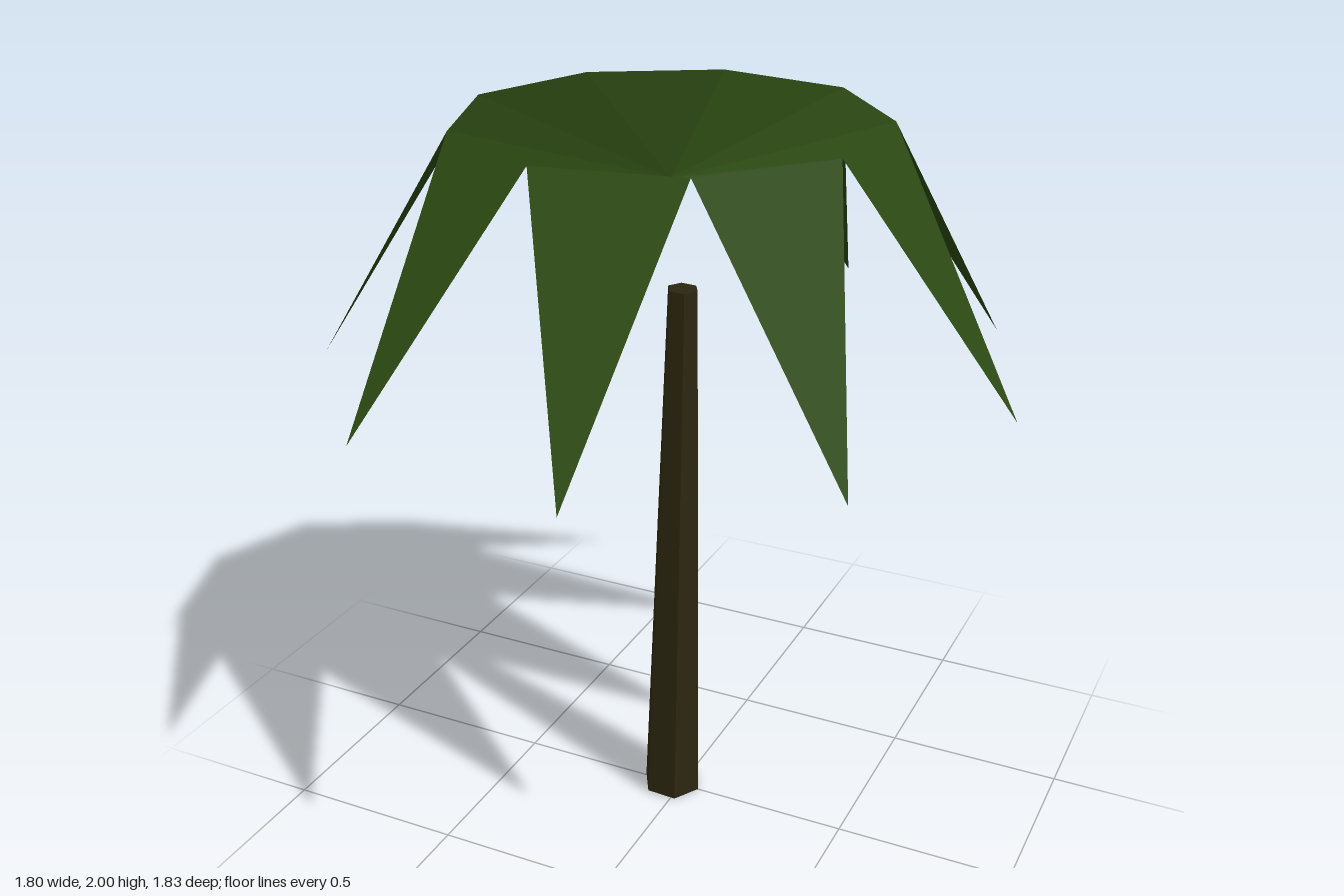
import * as THREE from 'three';

const LEAF_COUNT = 9;
const CENTRE_X = -0.028;

// One kite-shaped leaf: from the sunken crown centre, over the rim, down to the tip
function leafGeometry() {
  const half = Math.PI / LEAF_COUNT, rim = 0.552;
  const rx = rim * Math.cos(half), rz = rim * Math.sin(half);
  const geo = new THREE.BufferGeometry();
  geo.setAttribute('position', new THREE.Float32BufferAttribute([
    0, 1.845, 0,
    rx, 2, rz,
    0.928, 1.35, 0,
    rx, 2, -rz,
  ], 3));
  geo.setIndex([0, 1, 3, 1, 2, 3]);
  // The whole leaf shares one soft outward normal, so the fold at the rim stays smooth
  const n = new THREE.Vector3(0.47, 0.88, 0).normalize().toArray();
  geo.setAttribute('normal', new THREE.Float32BufferAttribute([...n, ...n, ...n, ...n], 3));
  return geo;
}

// Six-sided tapered trunk with a slight lean
function trunkGeometry() {
  const height = 1.555, lean = 0.035;
  const geo = new THREE.CylinderGeometry(0.042, 0.085, height, 6, 1, false, Math.PI / 2);
  geo.translate(0, height / 2 + 0.004, 0);
  const p = geo.attributes.position;
  for (let i = 0; i < p.count; i++) {
    const x = p.getX(i), y = p.getY(i);
    p.setXY(i, x - 0.03 + lean * y / height, y - 0.04 * x);
  }
  geo.computeVertexNormals();
  return geo;
}

export function createModel() {
  const leafGreen = new THREE.MeshStandardMaterial({ color: 0x2a4611, side: THREE.DoubleSide });
  leafGreen.name = 'leafGreen';
  const barkBrown = new THREE.MeshStandardMaterial({ color: 0x2b2610, flatShading: true });
  barkBrown.name = 'barkBrown';

  const model = new THREE.Group();
  model.name = 'palmTree';

  const trunk = new THREE.Mesh(trunkGeometry(), barkBrown);
  trunk.name = 'trunk';
  model.add(trunk);

  // Ring of leaves
  const crown = new THREE.Group();
  crown.name = 'crown';
  crown.position.x = CENTRE_X;
  const geo = leafGeometry();
  for (let i = 0; i < LEAF_COUNT; i++) {
    const leaf = new THREE.Mesh(geo, leafGreen);
    leaf.name = `leaf${i + 1}`;
    leaf.rotation.y = i * 2 * Math.PI / LEAF_COUNT;
    crown.add(leaf);
  }
  model.add(crown);
  return model;
}
